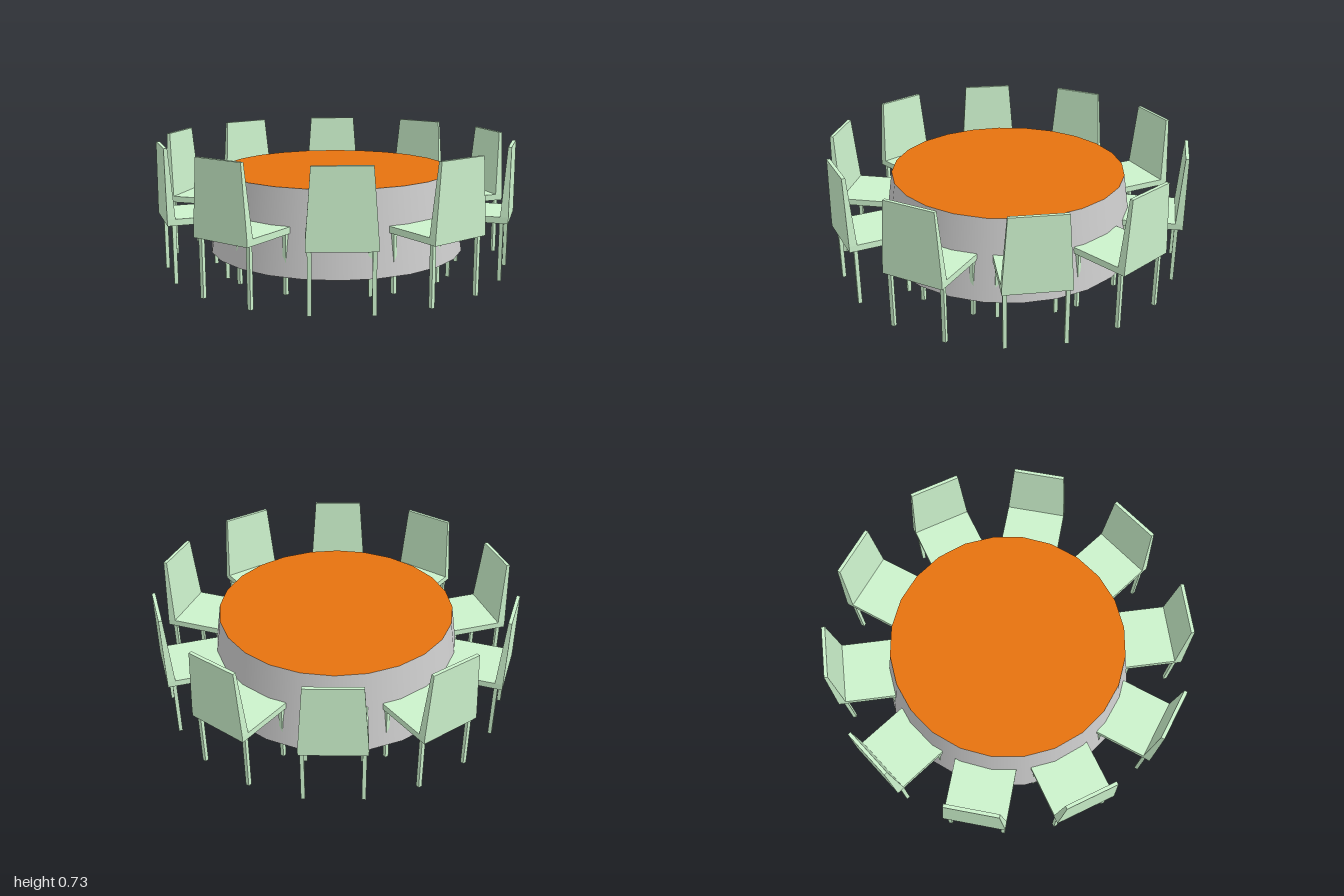
import * as THREE from 'three';

const grey = new THREE.MeshStandardMaterial({ color: 0xcccccc, side: THREE.DoubleSide });
const orange = new THREE.MeshStandardMaterial({ color: 0xe6720f, side: THREE.DoubleSide });
const green = new THREE.MeshStandardMaterial({ color: 0xccf2cc });

function part(name, geometry, material, x = 0, y = 0, z = 0) {
  const mesh = new THREE.Mesh(geometry, material);
  mesh.name = name;
  mesh.position.set(x, y, z);
  return mesh;
}

// Backrest: a box narrowed at the top, its inner face leaning outward
function backrestGeometry(bottomHalf, topHalf, height, outer, innerBottom, innerTop) {
  const geometry = new THREE.BoxGeometry(2, height, 1).toNonIndexed();
  const p = geometry.attributes.position;
  for (let i = 0; i < p.count; i++) {
    const top = p.getY(i) > 0;
    p.setX(i, p.getX(i) * (top ? topHalf : bottomHalf));
    p.setZ(i, p.getZ(i) > 0 ? outer : top ? innerTop : innerBottom);
  }
  geometry.computeVertexNormals();
  return geometry;
}

// One chair, standing away from the table along +z
function createChair() {
  const chair = new THREE.Group();
  const inner = 0.664, outer = 0.996, seatBottom = 0.32, seatTop = 0.355, top = 0.725;
  chair.add(part('seat', new THREE.BoxGeometry(0.346, seatTop - seatBottom, outer - inner), green,
    0, (seatTop + seatBottom) / 2, (inner + outer) / 2));
  chair.add(part('backrest', backrestGeometry(0.173, 0.145, top - seatTop, outer, 0.953, 0.977), green,
    0, (top + seatTop) / 2, 0));
  for (const x of [-0.154, 0.154]) {
    for (const [name, z] of [['innerLeg', 0.681], ['outerLeg', 0.96]]) {
      chair.add(part(name, new THREE.BoxGeometry(0.021, seatBottom, 0.021), green, x, seatBottom / 2, z));
    }
  }
  return chair;
}

export function createModel() {
  const model = new THREE.Group();
  model.name = 'roundTableWithChairs';

  // Table: round top with a flared open skirt
  const table = new THREE.Group();
  table.name = 'table';
  const top = part('tableTop', new THREE.CircleGeometry(0.66, 24), orange, 0, 0.548, 0);
  top.rotation.x = -Math.PI / 2;
  table.add(top);
  table.add(part('tableSkirt', new THREE.CylinderGeometry(0.66, 0.728, 0.45, 24, 1, true), grey, 0, 0.323, 0));
  model.add(table);

  // Ten chairs around the table
  for (let i = 0; i < 10; i++) {
    const chair = createChair();
    chair.name = `chair${i + 1}`;
    chair.rotation.y = (i * Math.PI) / 5;
    model.add(chair);
  }
  return model;
}
